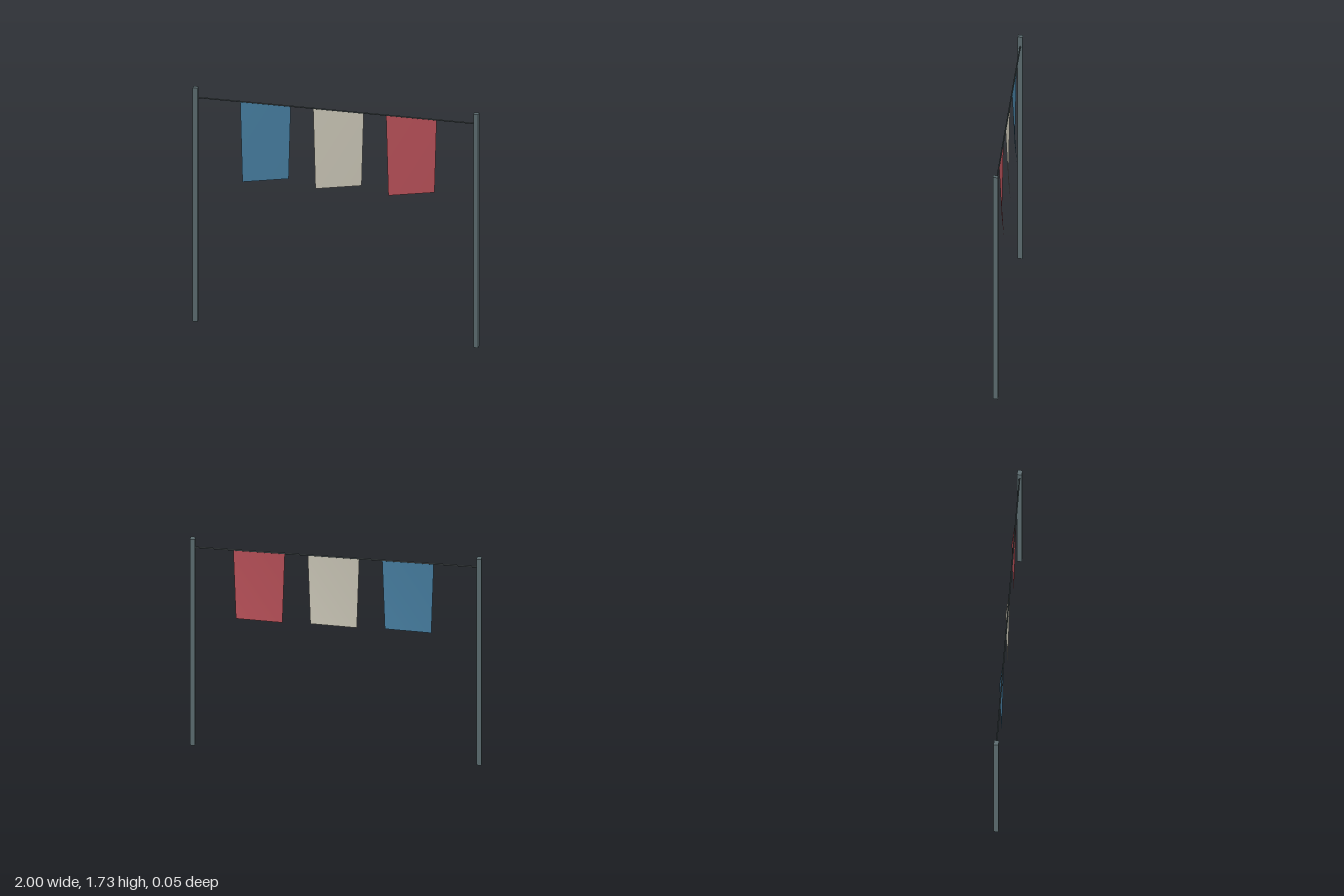
import * as THREE from 'three';

const mat = (name, color, side = THREE.FrontSide) => {
  const m = new THREE.MeshStandardMaterial({ color, side });
  m.name = name;
  return m;
};

export function createModel() {
  const model = new THREE.Group();
  model.name = 'flagLine';
  const lineZ = 0.007, ropeY = 1.655, postHeight = 1.73, postWidth = 0.034;

  const postMat = mat('slate grey', 0x5a6a6e);
  const ropeMat = mat('dark slate', 0x3c484b);
  const flagMats = [
    mat('blue cloth', 0x457b9d, THREE.DoubleSide),
    mat('cream cloth', 0xc6c2b3, THREE.DoubleSide),
    mat('red cloth', 0xb54f57, THREE.DoubleSide),
  ];

  const add = (name, geometry, material, x, y) => {
    const mesh = new THREE.Mesh(geometry, material);
    mesh.name = name;
    mesh.position.set(x, y, lineZ);
    model.add(mesh);
    return mesh;
  };

  // Square posts at both ends
  const postGeo = new THREE.BoxGeometry(postWidth, postHeight, postWidth);
  for (const side of [-1, 1]) {
    add(side < 0 ? 'rightPost' : 'leftPost', postGeo, postMat,
      side * (1 - postWidth / 2), postHeight / 2);
  }

  // Taut rope between the posts
  const rope = add('rope', new THREE.CylinderGeometry(0.005, 0.005, 1.966, 8), ropeMat, 0, ropeY);
  rope.rotation.z = Math.PI / 2;

  // Hanging cloth: straight top, tapered and gently twisted hem
  const flagGeo = new THREE.BufferGeometry();
  flagGeo.setAttribute('position', new THREE.Float32BufferAttribute([
    -0.177, 0, 0,
    0.177, 0, 0,
    -0.159, -0.59, 0.01,
    0.155, -0.553, -0.031,
  ], 3));
  flagGeo.setIndex([0, 2, 1, 2, 3, 1]);
  flagGeo.computeVertexNormals();
  ['blueFlag', 'creamFlag', 'redFlag'].forEach((name, i) => {
    add(name, flagGeo, flagMats[i], 0.017 + (i - 1) * 0.511, ropeY);
  });

  return model;
}
